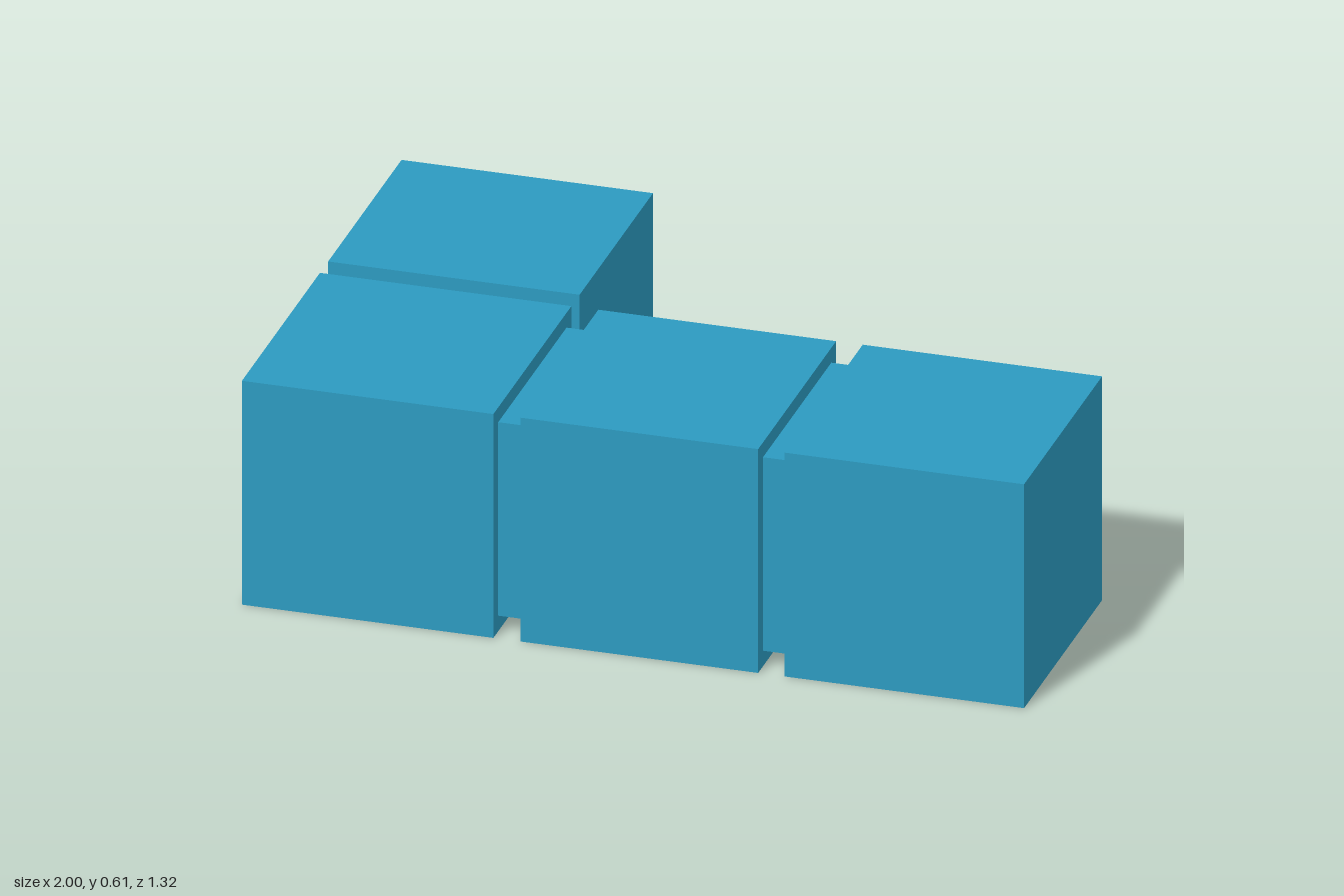
import * as THREE from 'three';

export function createModel() {
  const group = new THREE.Group();
  const blue = new THREE.MeshStandardMaterial({ color: 0x2c9ac0 });
  blue.name = 'blue';

  // Box given by its extents on each axis
  const addBox = (name, [x0, x1], [y0, y1], [z0, z1]) => {
    const mesh = new THREE.Mesh(new THREE.BoxGeometry(x1 - x0, y1 - y0, z1 - z0), blue);
    mesh.position.set((x0 + x1) / 2, (y0 + y1) / 2, (z0 + z1) / 2);
    mesh.name = name;
    group.add(mesh);
  };

  const height = [0, 0.605];
  const neckHeight = [0.042, 0.565];
  const rowDepth = [0.015, 0.66];
  const neckDepth = [0.055, 0.62];

  // Row of three blocks, with one more behind the corner block
  addBox('cornerBlock', [-1, -0.357], height, rowDepth);
  addBox('middleBlock', [-0.288, 0.32], height, rowDepth);
  addBox('endBlock', [0.388, 1], height, rowDepth);
  addBox('backBlock', [-1, -0.357], height, [-0.66, -0.053]);

  // Narrower necks joining the blocks
  addBox('cornerNeck', [-0.357, -0.288], neckHeight, neckDepth);
  addBox('endNeck', [0.32, 0.388], neckHeight, neckDepth);
  addBox('backNeck', [-0.96, -0.4], neckHeight, [-0.053, 0.015]);

  return group;
}
